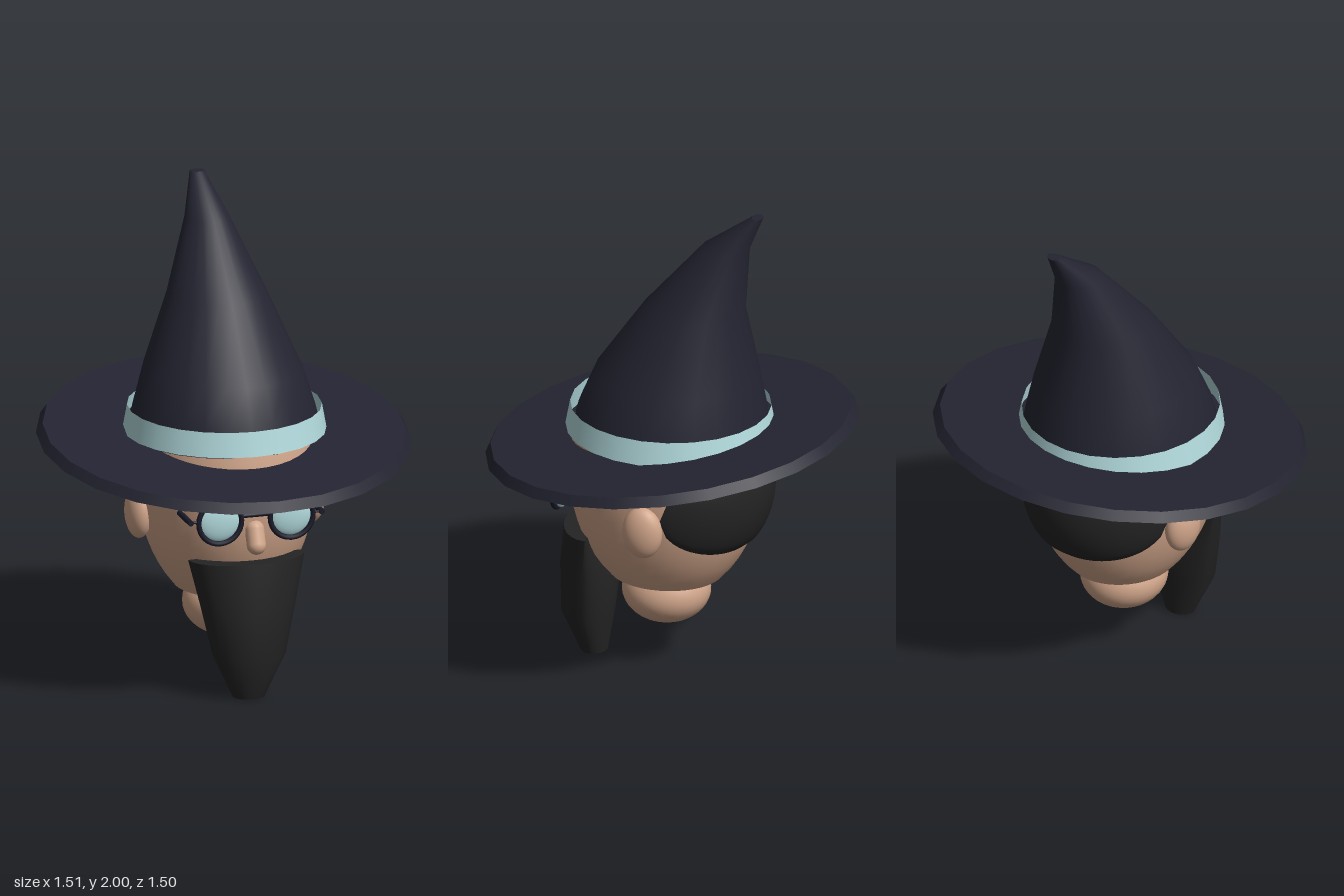
import * as THREE from 'three';

const mat = (name, color, side = THREE.FrontSide) => {
  const m = new THREE.MeshStandardMaterial({ color, side });
  m.name = name;
  return m;
};

// Closed solid through cross-sections [y, halfWidth, centreZ, frontDepth, backDepth]
function loft(rings, n = 24) {
  const pos = [], idx = [];
  const addRing = ([y, w, zc, f, b]) => {
    for (let i = 0; i < n; i++) {
      const a = (i / n) * Math.PI * 2, c = Math.cos(a);
      pos.push(Math.sin(a) * w, y, zc + c * (c > 0 ? f : b));
    }
  };
  rings.forEach(addRing);
  for (let j = 0; j < rings.length - 1; j++) {
    for (let i = 0; i < n; i++) {
      const a = j * n + i, b = j * n + (i + 1) % n;
      idx.push(a, b, b + n, a, b + n, a + n);
    }
  }
  // flat end caps with their own vertices
  [[rings[0], false], [rings[rings.length - 1], true]].forEach(([r, top]) => {
    const s = pos.length / 3;
    addRing(r);
    pos.push(0, r[0], r[2] + (r[3] - r[4]) / 2);
    for (let i = 0; i < n; i++) {
      const k = (i + 1) % n;
      if (top) idx.push(s + n, s + i, s + k);
      else idx.push(s + n, s + k, s + i);
    }
  });
  const g = new THREE.BufferGeometry();
  g.setAttribute('position', new THREE.Float32BufferAttribute(pos, 3));
  g.setIndex(idx);
  g.computeVertexNormals();
  return g;
}

// Head is an ellipsoid cut flat at the jaw
const HEAD = { y: 0.85, z: 0.02, rx: 0.36, ry: 0.565, rz: 0.4 };
const headScale = (y) => Math.sqrt(1 - ((y - HEAD.y) / HEAD.ry) ** 2);

export function createModel() {
  const group = new THREE.Group();
  group.name = 'wizardHead';

  const skin = mat('skin', 0xd0a58a);
  const hatCloth = mat('hatCloth', 0x242432);
  const bandCloth = mat('paleTeal', 0xb2dadd, THREE.DoubleSide);
  const hairMat = mat('blackHair', 0x242424, THREE.DoubleSide);
  const frameMat = mat('glassesFrame', 0x1a1a2a);

  const add = (name, geo, material, p = [0, 0, 0], s = [1, 1, 1]) => {
    const m = new THREE.Mesh(geo, material);
    m.name = name;
    m.position.set(...p);
    m.scale.set(...s);
    group.add(m);
    return m;
  };
  const rod = (name, a, b, r, material) => {
    const va = new THREE.Vector3(...a), vb = new THREE.Vector3(...b);
    const m = add(name, new THREE.CylinderGeometry(r, r, va.distanceTo(vb), 10), material);
    m.position.copy(va).add(vb).multiplyScalar(0.5);
    m.quaternion.setFromUnitVectors(new THREE.Vector3(0, 1, 0), vb.sub(va).normalize());
    return m;
  };
  const ball = new THREE.SphereGeometry(1, 32, 20);

  // Head and neck
  const headRings = [];
  for (let i = 0; i <= 14; i++) {
    const y = 0.39 + (i / 14) * 0.66, f = headScale(y);
    headRings.push([y, HEAD.rx * f, HEAD.z, HEAD.rz * f, HEAD.rz * f]);
  }
  add('head', loft(headRings, 40), skin);
  add('neck', ball, skin, [0, 0.312, 0.02], [0.175, 0.137, 0.18]);

  // Nose
  const nose = add('nose', new THREE.CapsuleGeometry(0.039, 0.065, 8, 16), skin, [0, 0.692, 0.418]);
  nose.rotation.x = -0.4;

  // Hair patch wrapped round the back of the head
  const hair = new THREE.PlaneGeometry(2, 2, 40, 16);
  const hp = hair.attributes.position;
  for (let i = 0; i < hp.count; i++) {
    const u = hp.getX(i), v = hp.getY(i);
    const edge = Math.sqrt(Math.max(0, 1 - Math.abs(u) ** 3));
    const a = u * 1.36, y = 0.762 + 0.192 * edge * v;
    const puff = 0.004 + 0.042 * edge * Math.sqrt(1 - v * v);
    const f = headScale(y);
    hp.setXYZ(i, -Math.sin(a) * (HEAD.rx * f + puff * 0.5), y,
      HEAD.z - Math.cos(a) * (HEAD.rz * f + puff));
  }
  hair.computeVertexNormals();
  add('backHair', hair, hairMat);

  // Beard
  add('beard', loft([
    [0, 0.065, 0.325, 0.055, 0.055],
    [0.18, 0.15, 0.33, 0.125, 0.085],
    [0.4, 0.2, 0.31, 0.145, 0.085],
    [0.58, 0.242, 0.288, 0.145, 0.005],
  ], 28), hairMat);

  // Ears and glasses, mirrored
  for (const s of [1, -1]) {
    const side = s > 0 ? 'left' : 'right';
    add(side + 'Ear', ball, skin, [s * 0.362, 0.713, 0.005], [0.054, 0.11, 0.083]);
    add(side + 'Lens', ball, bandCloth, [s * 0.15, 0.77, 0.405], [0.088, 0.088, 0.028]);
    add(side + 'Rim', new THREE.TorusGeometry(0.09, 0.011, 10, 32), frameMat, [s * 0.15, 0.77, 0.425]);
    rod(side + 'Hinge', [s * 0.24, 0.778, 0.425], [s * 0.275, 0.778, 0.425], 0.005, frameMat);
    rod(side + 'Temple', [s * 0.275, 0.778, 0.433], [s * 0.275, 0.778, 0.28], 0.012, frameMat);
  }
  rod('bridge', [-0.065, 0.788, 0.425], [0.065, 0.788, 0.425], 0.009, frameMat);

  // Hat: tilted brim, bent crown and band
  const brim = add('hatBrim', new THREE.CylinderGeometry(0.73, 0.755, 0.04, 24), hatCloth, [0, 1.011, 0]);
  brim.rotation.x = 0.135;
  add('hatCrown', loft([
    [1.02, 0.39, 0, 0.4, 0.405],
    [1.13, 0.365, -0.008, 0.38, 0.38],
    [1.28, 0.32, -0.027, 0.335, 0.335],
    [1.57, 0.203, -0.098, 0.206, 0.206],
    [1.85, 0.09, -0.23, 0.097, 0.097],
    [2.0, 0.03, -0.364, 0.023, 0.023],
  ]), hatCloth);
  add('hatBand', new THREE.CylinderGeometry(0.39, 0.408, 0.1, 24, 1, true), bandCloth,
    [0, 1.08, 0.002], [1, 1, 1.04]);

  return group;
}
